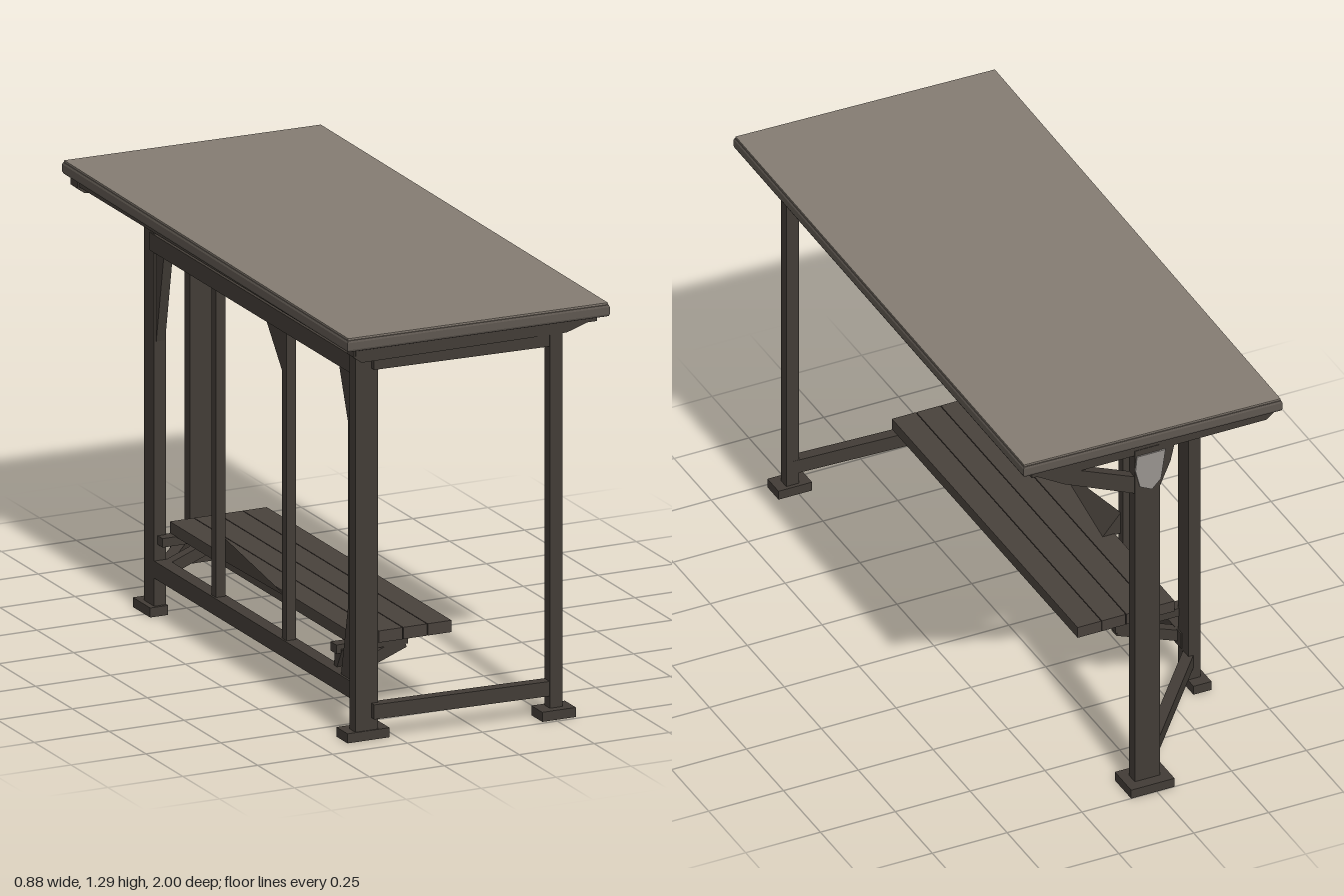
import * as THREE from 'three';
import { ConvexGeometry } from 'three/addons/geometries/ConvexGeometry.js';

export function createModel() {
  const model = new THREE.Group();
  model.name = 'shelter';

  const mat = (name, color) => {
    const m = new THREE.MeshStandardMaterial({ color });
    m.name = name;
    return m;
  };
  const frame = mat('dark weathered wood', 0x423c36);
  const roofTop = mat('grey roof sheet', 0x857c72);
  const roofRim = mat('roof edge wood', 0x5e5750);
  const ceiling = mat('roof underside boards', 0x5a534b);
  const benchWood = mat('bench wood', 0x49423c);
  const metal = mat('pale grey plate', 0x98938e);

  const add = (name, geometry, material = frame) => {
    const mesh = new THREE.Mesh(geometry, material);
    mesh.name = name;
    model.add(mesh);
    return mesh;
  };

  // Box given by its limits on each axis
  const box = (name, [x0, x1], [y0, y1], [z0, z1], material) => {
    const g = new THREE.BoxGeometry(x1 - x0, y1 - y0, z1 - z0);
    g.translate((x0 + x1) / 2, (y0 + y1) / 2, (z0 + z1) / 2);
    return add(name, g, material);
  };

  // Straight beam between two points
  const beam = (name, a, b, width, height) => {
    const p = new THREE.Vector3(...a), q = new THREE.Vector3(...b);
    const mesh = add(name, new THREE.BoxGeometry(width, height, p.distanceTo(q)));
    mesh.position.copy(p).add(q).multiplyScalar(0.5);
    mesh.lookAt(q);
    return mesh;
  };

  const extrude = (points, depth, bevel = 0) => new THREE.ExtrudeGeometry(
    new THREE.Shape(points.map(([u, v]) => new THREE.Vector2(u, v))),
    { depth, bevelEnabled: bevel > 0, bevelSize: bevel, bevelThickness: bevel, bevelOffset: -bevel, bevelSegments: 2 });

  // Flat bracket in the z-y plane, centred on x
  const sideBracket = (name, x, points, t) => {
    const g = extrude(points, t);
    g.translate(0, 0, -t / 2);
    g.rotateY(-Math.PI / 2);
    g.translate(x, 0, 0);
    add(name, g);
  };

  // Flat bracket in the x-y plane, centred on z
  const frontBracket = (name, z, points, t, material) => {
    const g = extrude(points, t);
    g.translate(0, 0, z - t / 2);
    add(name, g, material);
  };

  // Slightly skewed roof slab with a thin sheet on top
  const outline = [[-0.44, -0.98], [0.425, -1], [0.435, 0.98], [-0.42, 1]];
  const slab = extrude(outline, 0.022, 0.009);
  slab.rotateX(-Math.PI / 2);
  slab.translate(0, 1.254, 0);
  add('roofSlab', slab, roofRim);
  const sheet = extrude(outline.map(([x, y]) => [x * 0.99, y * 0.995]), 0.008);
  sheet.rotateX(-Math.PI / 2);
  sheet.translate(0, 1.281, 0);
  add('roofSheet', sheet, roofTop);
  box('roofUnderside', [-0.4, 0.4], [1.238, 1.246], [-0.96, 0.96], ceiling);

  // Roof frame: long beams, tapered end beams and rafters
  for (const x of [-0.375, 0.37]) box('roofLongBeam', [x - 0.03, x + 0.03], [1.226, 1.248], [-0.965, 0.965]);
  for (const z of [-0.94, 0.94]) {
    frontBracket('roofEndBeam', z,
      [[-0.41, 1.248], [-0.41, 1.222], [-0.385, 1.203], [0.3, 1.203], [0.39, 1.232], [0.405, 1.248]], 0.045);
  }
  for (const z of [-0.54, -0.08, 0.4]) box('rafter', [-0.37, 0.37], [1.21, 1.24], [z - 0.017, z + 0.017]);

  // Four posts: [x, z, width, depth], each with a foot plate: [x, z, width, depth]
  const posts = [
    [[-0.347, 0.9, 0.075, 0.038], [-0.342, 0.885, 0.14, 0.075]],
    [[0.265, 0.943, 0.042, 0.036], [0.262, 0.95, 0.112, 0.075]],
    [[0.013, -0.945, 0.085, 0.038], [0.013, -0.945, 0.145, 0.11]],
    [[-0.352, -0.508, 0.04, 0.07], [-0.36, -0.522, 0.06, 0.118]],
  ];
  for (const [[x, z, w, d], [fx, fz, fw, fd]] of posts) {
    box('post', [x - w / 2, x + w / 2], [0.02, 1.22], [z - d / 2, z + d / 2]);
    box('footPlate', [fx - fw / 2, fx + fw / 2], [0, 0.03], [fz - fd / 2, fz + fd / 2]);
  }

  // Front rails and the slanting rear rails
  for (const [y, h] of [[0.091, 0.046], [1.189, 0.046]]) {
    beam('frontRail', [-0.33, y, 0.92], [0.265, y, 0.943], 0.036, h);
    beam('rearRail', [-0.352, y, -0.51], [0.0, y, -0.94], 0.036, h);
  }

  // Side wall frame
  const wx = -0.35;
  box('wallBottomRail', [wx - 0.022, wx + 0.022], [0.118, 0.172], [-0.5, 0.89]);
  box('wallTopRail', [wx - 0.025, wx + 0.025], [1.142, 1.198], [-0.5, 0.89]);
  for (const [z, w] of [[0.848, 0.035], [0.4, 0.03], [-0.08, 0.03]])
    box('wallUpright', [wx - 0.016, wx + 0.016], [0.13, 1.225], [z - w / 2, z + w / 2]);
  sideBracket('wallBracket', wx, [[0.84, 1.15], [0.84, 0.95], [0.765, 1.15]], 0.03);
  sideBracket('wallBracket', wx, [[0.84, 0.16], [0.78, 0.16], [0.835, 0.42]], 0.03);
  sideBracket('wallBracket', wx, [[0.4, 1.15], [0.4, 0.99], [0.265, 1.15]], 0.03);
  sideBracket('wallBracket', wx, [[-0.48, 1.15], [-0.475, 0.85], [-0.42, 1.15]], 0.03);

  // Wedge between the bench and the wall
  add('benchWedge', new ConvexGeometry([
    [-0.335, 0.355, -0.08], [-0.335, 0.28, -0.08], [-0.27, 0.28, -0.08], [-0.325, 0.28, 0.34],
  ].map(p => new THREE.Vector3(...p))));

  // Roof brackets on the rear post
  const rz = -0.945;
  frontBracket('rearPostArm', rz, [[0.05, 1.065], [0.29, 1.17], [0.4, 1.235], [0.3, 1.23], [0.05, 1.125]], 0.034);
  frontBracket('rearPostBracket', rz, [[-0.025, 1.06], [-0.025, 1.215], [-0.08, 1.215], [-0.065, 1.15]], 0.034);
  frontBracket('rearPostPlate', rz - 0.0205,
    [[-0.03, 1.1], [0.0, 1.07], [0.04, 1.09], [0.055, 1.15], [0.05, 1.2], [-0.045, 1.2]], 0.006, metal);

  // Bench slats
  const slats = 4, slatPitch = 0.0815;
  for (let i = 0; i < slats; i++) {
    const x = -0.314 + i * slatPitch;
    box('benchSlat', [x, x + 0.079], [0.248, 0.285], [-0.485, 0.77], benchWood);
  }

  // Bench supports
  for (const z of [0.72, -0.46]) {
    box('benchBearer', [-0.36, -0.12], [0.222, 0.25], [z - 0.02, z + 0.02]);
    beam('benchStrut', [-0.345, 0.145, z], [-0.13, 0.228, z], 0.035, 0.036);
  }
  sideBracket('benchBracket', -0.325, [[0.75, 0.235], [0.69, 0.13], [0.7, 0.235]], 0.04);

  return model;
}
